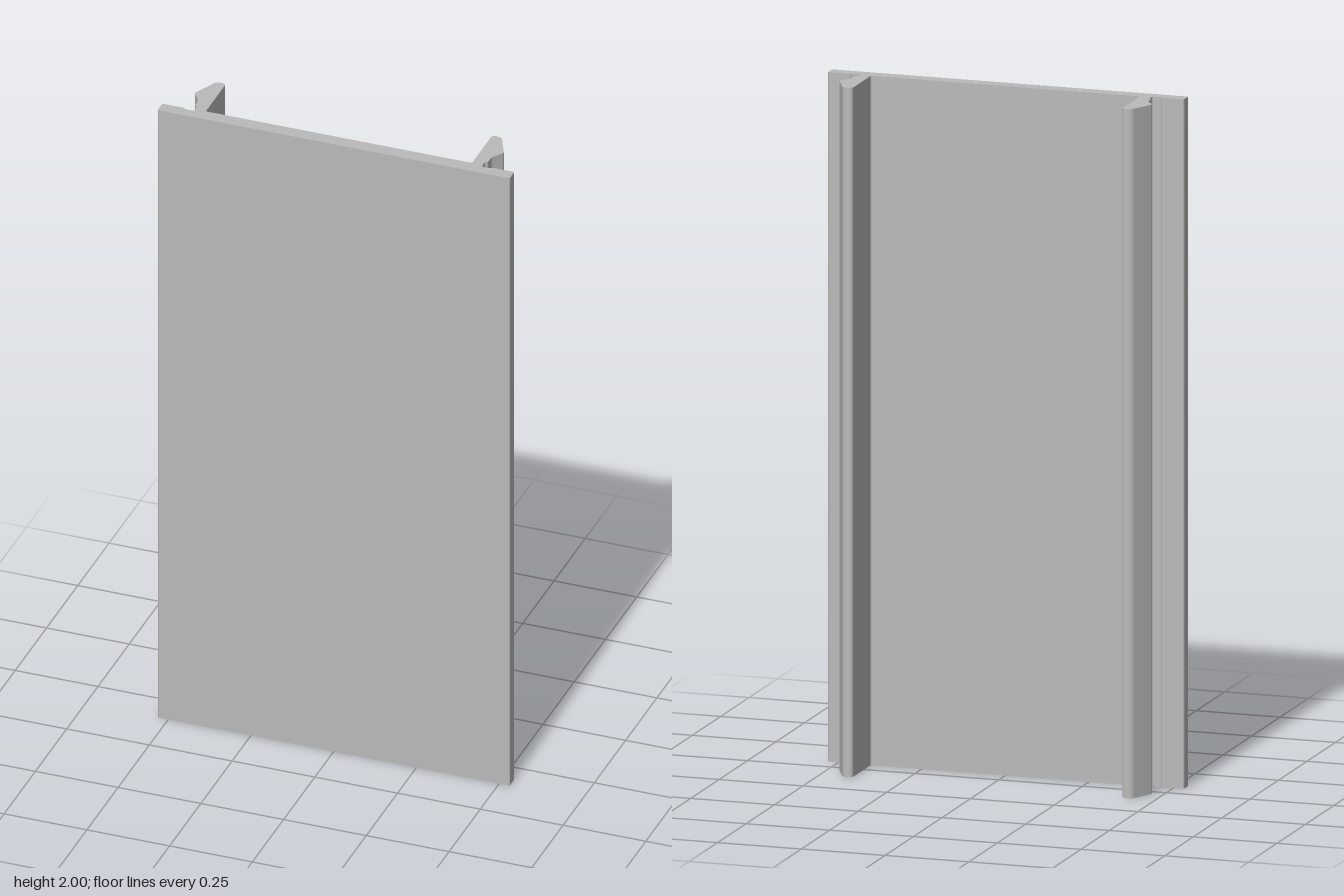
import * as THREE from 'three';

const LENGTH = 2;

// Right half of the cross-section: x, z, corner radius (front edge round to inner corner)
const HALF = [
  [0.532, 0.1, 0.006],    // front outer edge
  [0.532, 0.062, 0.006],  // rear outer edge
  [0.466, 0.062, 0.004],  // groove lip
  [0.462, 0.067, 0.003],
  [0.435, 0.067, 0.006],  // groove floor
  [0.435, 0.043, 0.004],  // neck
  [0.443, 0.036, 0.004],
  [0.443, 0.01, 0.006],   // under the barb
  [0.467, -0.026, 0.005], // barb tip
  [0.431, -0.104, 0.013], // rounded hook end
  [0.402, -0.104, 0.012],
  [0.402, 0.058, 0.005],  // inner corner
];

// Closed shape with every corner rounded by its own radius
function roundedShape(points) {
  const shape = new THREE.Shape();
  const n = points.length;
  points.forEach(([x, y, r], i) => {
    const corner = new THREE.Vector2(x, y);
    const towards = ([px, py]) => {
      const d = new THREE.Vector2(px - x, py - y);
      return corner.clone().add(d.setLength(Math.min(r, d.length() * 0.49)));
    };
    const a = towards(points[(i + n - 1) % n]);
    const b = towards(points[(i + 1) % n]);
    if (i === 0) shape.moveTo(a.x, a.y);
    else shape.lineTo(a.x, a.y);
    shape.quadraticCurveTo(x, y, b.x, b.y);
  });
  shape.closePath();
  return shape;
}

export function createModel() {
  const group = new THREE.Group();
  group.name = 'clipProfile';
  const aluminium = new THREE.MeshStandardMaterial({ color: 0xbababa });
  aluminium.name = 'aluminium grey';

  // Mirror the half section; shape y is -z so the extrusion can be stood upright
  const right = HALF.map(([x, z, r]) => [x, -z, r]);
  const left = right.map(([x, y, r]) => [-x, y, r]).reverse();
  const geometry = new THREE.ExtrudeGeometry(roundedShape([...right, ...left]), {
    depth: LENGTH, bevelEnabled: false, curveSegments: 6,
  });
  geometry.rotateX(-Math.PI / 2);

  // Cover plate with its two barbed snap legs, one continuous extrusion
  const cover = new THREE.Mesh(geometry, aluminium);
  cover.name = 'coverWithSnapLegs';
  group.add(cover);
  return group;
}
